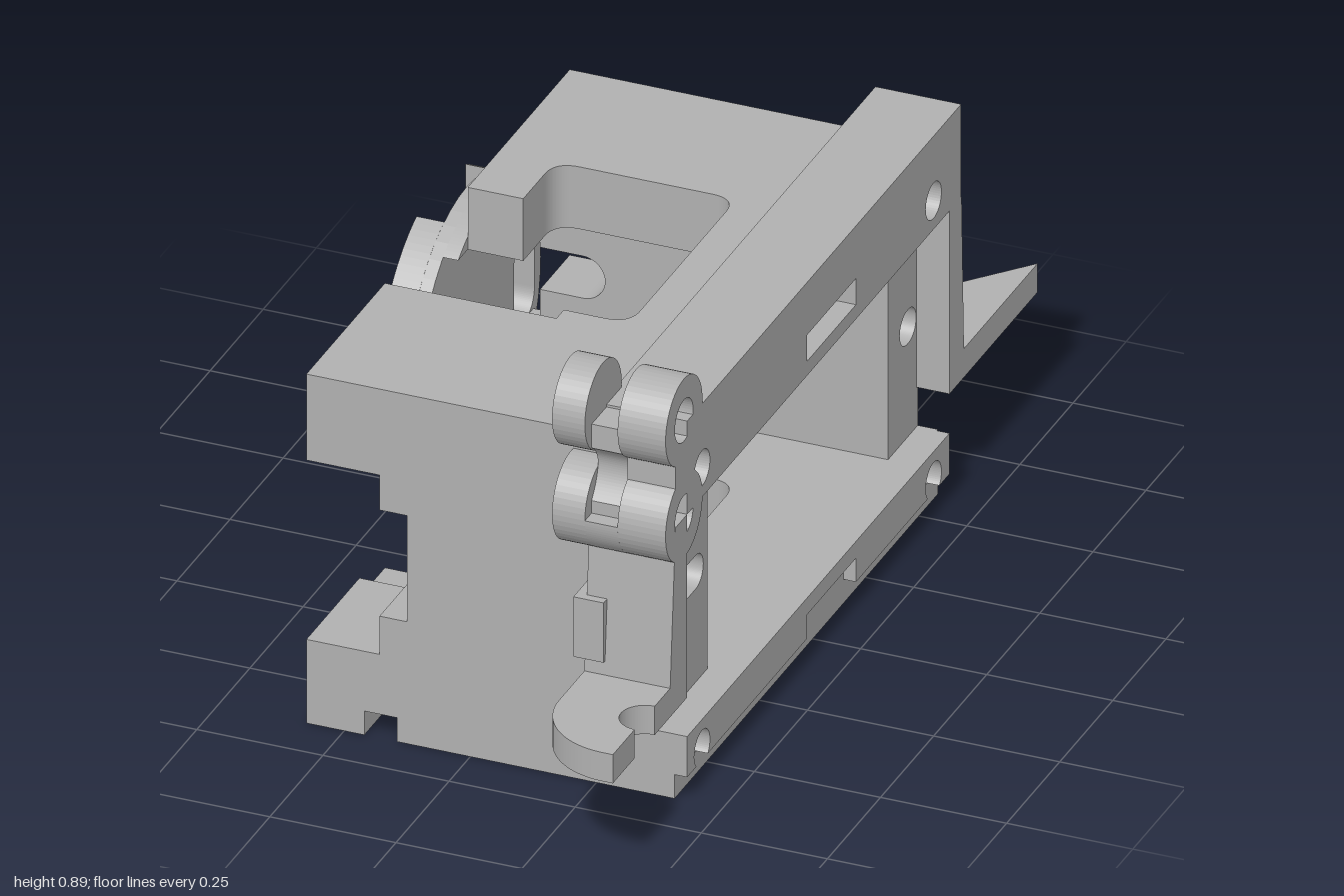
import * as THREE from 'three';

const grey = new THREE.MeshStandardMaterial({ color: 0xb0b0b0 });

// Closed outline from [a, b] points
const poly = (pts) => new THREE.Shape(pts.map(([a, b]) => new THREE.Vector2(a, b)));
const rect = (a0, a1, b0, b1) => poly([[a0, b0], [a1, b0], [a1, b1], [a0, b1]]);
const disc = (a, b, r) => new THREE.Path().absarc(a, b, r, 0, Math.PI * 2, false);
const capsule = (a0, a1, b, r) => new THREE.Path()
  .absarc(a1 - r, b, r, -Math.PI / 2, Math.PI / 2, false)
  .absarc(a0 + r, b, r, Math.PI / 2, Math.PI * 1.5, false);
const cut = (shape, ...holes) => { shape.holes.push(...holes); return shape; };

export function createModel() {
  const model = new THREE.Group();
  const add = (name, geo) => {
    const mesh = new THREE.Mesh(geo, grey);
    mesh.name = name;
    model.add(mesh);
    return mesh;
  };
  const extrude = (shape, depth) =>
    new THREE.ExtrudeGeometry(shape, { depth, bevelEnabled: false, curveSegments: 24 });
  // Profiles along x are drawn in (-z, y); along y in (x, -z); along z in (x, y)
  const alongX = (name, s, x0, x1) => add(name, extrude(s, x1 - x0).rotateY(Math.PI / 2).translate(x0, 0, 0));
  const alongY = (name, s, y0, y1) => add(name, extrude(s, y1 - y0).rotateX(-Math.PI / 2).translate(0, y0, 0));
  const alongZ = (name, s, z0, z1) => add(name, extrude(s, z1 - z0).translate(0, 0, z0));
  const box = (name, x0, x1, y0, y1, z0, z1) =>
    add(name, new THREE.BoxGeometry(x1 - x0, y1 - y0, z1 - z0)
      .translate((x0 + x1) / 2, (y0 + y1) / 2, (z0 + z1) / 2));

  const R = 0.037, F = -0.58, B = 0.51; // screw holes: radius, front and back positions

  // Lower bar profile whose underside is raised, so the screw holes break through it
  const raisedBar = (a0, a1, holes, slot) => {
    const y0 = 0.05, t = Math.asin((0.075 - y0) / R);
    const s = new THREE.Shape();
    s.moveTo(a0, y0);
    holes.forEach((h, i) => {
      if (slot && i === 1) {
        s.lineTo(slot[0], y0); s.lineTo(slot[0], 0.1);
        s.lineTo(slot[1], 0.1); s.lineTo(slot[1], y0);
      }
      s.lineTo(h - R * Math.cos(t), y0);
      s.absarc(h, 0.075, R, Math.PI + t, -t, true);
    });
    s.lineTo(a1, y0); s.lineTo(a1, 0.135); s.lineTo(a0, 0.135);
    return s;
  };

  // Body: front and back bars of the top and bottom plates, drilled end to end
  for (const [end, a0, a1, h] of [['front', -0.65, -0.28, F], ['back', 0.26, 0.59, B]]) {
    alongX(end + 'TopBar', cut(rect(a0, a1, 0.6, 0.73), disc(h, 0.66, R)), -0.325, 0.26);
    for (const [x0, x1] of [[-0.325, -0.21], [-0.145, 0.405]])
      alongX(end + 'BottomBar', cut(rect(a0, a1, 0, 0.135), disc(h, 0.075, R)), x0, x1);
    alongX(end + 'GrooveBar', raisedBar(a0, a1, [h]), -0.21, -0.145);
  }

  // Middle of both plates, with the rounded cut-out
  for (const [name, right, y0, y1] of [['topPlate', 0.26, 0.6, 0.73], ['bottomPlate', 0.405, 0, 0.135]]) {
    const s = new THREE.Shape();
    s.moveTo(right, -0.28);
    s.lineTo(right, 0.26);
    s.lineTo(0.095, 0.26);
    s.quadraticCurveTo(0.145, 0.26, 0.145, 0.21);
    s.lineTo(0.145, -0.195);
    s.quadraticCurveTo(0.145, -0.245, 0.095, -0.245);
    s.lineTo(0.015, -0.245);
    s.lineTo(0.015, -0.28);
    alongY(name, s, y0, y1);
    const tab = new THREE.Shape();
    tab.moveTo(-0.325, 0.26);
    tab.lineTo(-0.325, 0.11);
    tab.lineTo(-0.215, 0.11);
    tab.lineTo(-0.215, 0.21);
    tab.quadraticCurveTo(-0.215, 0.26, -0.165, 0.26);
    alongY(name + 'Tab', tab, y0, y1);
  }

  // End walls: stepped notch in front, open round slot at the back
  alongZ('frontWall', poly([[0.26, 0.135], [0.26, 0.6], [-0.325, 0.6], [-0.325, 0.55], [-0.18, 0.55],
    [-0.18, 0.477], [-0.125, 0.477], [-0.125, 0.255], [-0.18, 0.255], [-0.18, 0.175],
    [-0.325, 0.175], [-0.325, 0.135]]), 0.4, 0.65);
  const back = new THREE.Shape();
  back.moveTo(-0.325, 0.135);
  back.lineTo(0.26, 0.135);
  back.lineTo(0.26, 0.6);
  back.lineTo(-0.325, 0.6);
  back.lineTo(-0.325, 0.43);
  back.lineTo(-0.24, 0.43);
  back.absarc(-0.24, 0.386, 0.044, Math.PI / 2, -Math.PI / 2, true);
  back.lineTo(-0.325, 0.342);
  alongZ('backWall', back, -0.59, -0.45);
  alongX('frontWallEnd', cut(rect(-0.65, -0.4, 0.135, 0.6), capsule(-0.54, -0.42, 0.365, 0.035)), 0.26, 0.365);
  alongX('backWallEnd', cut(rect(0.45, 0.59, 0.135, 0.6), capsule(0.505, 0.582, 0.365, 0.035)), 0.26, 0.365);

  // Side rails with a blind slot each
  const topRail = () => cut(rect(-0.65, 0.64, 0.6, 0.795), disc(F, 0.66, R), disc(B, 0.66, R));
  alongX('topRail', topRail(), 0.26, 0.385);
  alongX('topRailFace', cut(topRail(), new THREE.Path(rect(-0.085, 0.145, 0.63, 0.685).getPoints())), 0.385, 0.43);
  alongX('bottomRailFace', raisedBar(-0.65, 0.585, [F, B], [-0.085, 0.145]), 0.405, 0.43);

  // Hinge: two knuckles drilled from the right, joined by a link
  for (const [name, y] of [['upperKnuckle', 0.804], ['lowerKnuckle', 0.604]]) {
    const knuckle = () => new THREE.Shape().absarc(-0.665, y, 0.087, 0, Math.PI * 2, false);
    alongX(name, knuckle(), 0.205, 0.27);
    alongX(name + 'Ring', cut(knuckle(), disc(-0.665, y, 0.043)), 0.335, 0.43);
  }
  const saddle = new THREE.Shape().absarc(-0.665, 0.604, 0.087, Math.PI, Math.PI * 2, false);
  alongX('knuckleSaddle', saddle, 0.27, 0.335);
  const link = new THREE.Shape();
  link.moveTo(-0.6, 0.6);
  link.lineTo(-0.6, 0.79);
  link.lineTo(-0.72, 0.79);
  link.lineTo(-0.72, 0.74);
  link.quadraticCurveTo(-0.66, 0.7, -0.72, 0.63);
  link.lineTo(-0.72, 0.6);
  alongX('hingeLink', link, 0.27, 0.335);
  box('hingeNeck', 0.335, 0.43, 0.66, 0.75, 0.62, 0.705);

  // Legs and feet
  alongX('frontLeg', poly([[-0.735, 0.217], [-0.65, 0.217], [-0.65, 0.6], [-0.705, 0.6]]), 0.26, 0.43);
  alongX('backLeg', poly([[0.585, 0.217], [0.655, 0.217], [0.642, 0.6], [0.585, 0.6]]), 0.26, 0.43);
  box('frontLatch', 0.24, 0.3, 0.305, 0.43, 0.64, 0.735);
  const foot = new THREE.Shape();
  foot.moveTo(0.43, -0.7);
  foot.lineTo(0.26, -0.7);
  foot.lineTo(0.26, -0.85);
  foot.absarc(0.41, -0.85, 0.15, Math.PI, Math.PI * 1.5, false);
  foot.lineTo(0.43, -1);
  foot.lineTo(0.43, -0.9);
  foot.absarc(0.43, -0.85, 0.047, -Math.PI / 2, -Math.PI * 1.5, true);
  alongY('frontFoot', foot, 0.217, 0.277);
  const spike = new THREE.Shape();
  spike.moveTo(0.26, 0.64);
  spike.lineTo(0.43, 0.64);
  spike.lineTo(0.43, 1);
  spike.lineTo(0.28, 0.825);
  spike.quadraticCurveTo(0.26, 0.8, 0.26, 0.76);
  alongY('backFoot', spike, 0.217, 0.277);

  // Clip and pin on the back wall
  box('backClip', 0.11, 0.26, 0.25, 0.48, -0.635, -0.585);
  add('clipPin', new THREE.CylinderGeometry(0.03, 0.03, 0.2, 20).rotateZ(Math.PI / 2).translate(0.18, 0.365, -0.59));

  // Round plate on the left: drilled base, two raised segments, standoffs
  const cu = 0.235, cy = 0.365, pr = 0.29;
  const opening = () => capsuleUp(0.4, 0.495, 0.27, 0.46);
  const capsuleUp = (a0, a1, b0, b1) => {
    const r = (a1 - a0) / 2, m = (a0 + a1) / 2;
    return new THREE.Path().absarc(m, b1 - r, r, 0, Math.PI, false).absarc(m, b0 + r, r, Math.PI, Math.PI * 2, false);
  };
  const plate = new THREE.Shape().absarc(cu, cy, pr, 0, Math.PI * 2, false);
  alongX('roundPlate', cut(plate, disc(0.02, cy, 0.03), disc(cu, 0.585, 0.03), disc(cu, 0.145, 0.03), opening()),
    -0.38, -0.355);
  const segment = (a, side) => {
    const t = Math.acos(Math.abs(a - cu) / pr), mid = side > 0 ? 0 : Math.PI;
    return new THREE.Shape().absarc(cu, cy, pr, mid - t, mid + t, false);
  };
  alongX('backSegment', cut(segment(0.36, 1), opening()), -0.435, -0.38);
  alongX('frontSegment', cut(segment(0.13, -1), disc(0.02, cy, 0.03)), -0.435, -0.38);
  for (const s of [1, -1]) {
    const t = Math.acos(0.235 / pr), mid = s * Math.PI / 2;
    alongX('plateStandoff', new THREE.Shape().absarc(cu, cy, pr, mid - t, mid + t, false), -0.355, -0.325);
  }
  // Back standoff, split by the slot
  for (const [b0, b1] of [[0.175, 0.275], [0.455, 0.558]])
    alongX('backStandoff', rect(0.45, b0 > 0.3 ? 0.48 : 0.49, b0, b1), -0.355, -0.325);
  return model;
}
